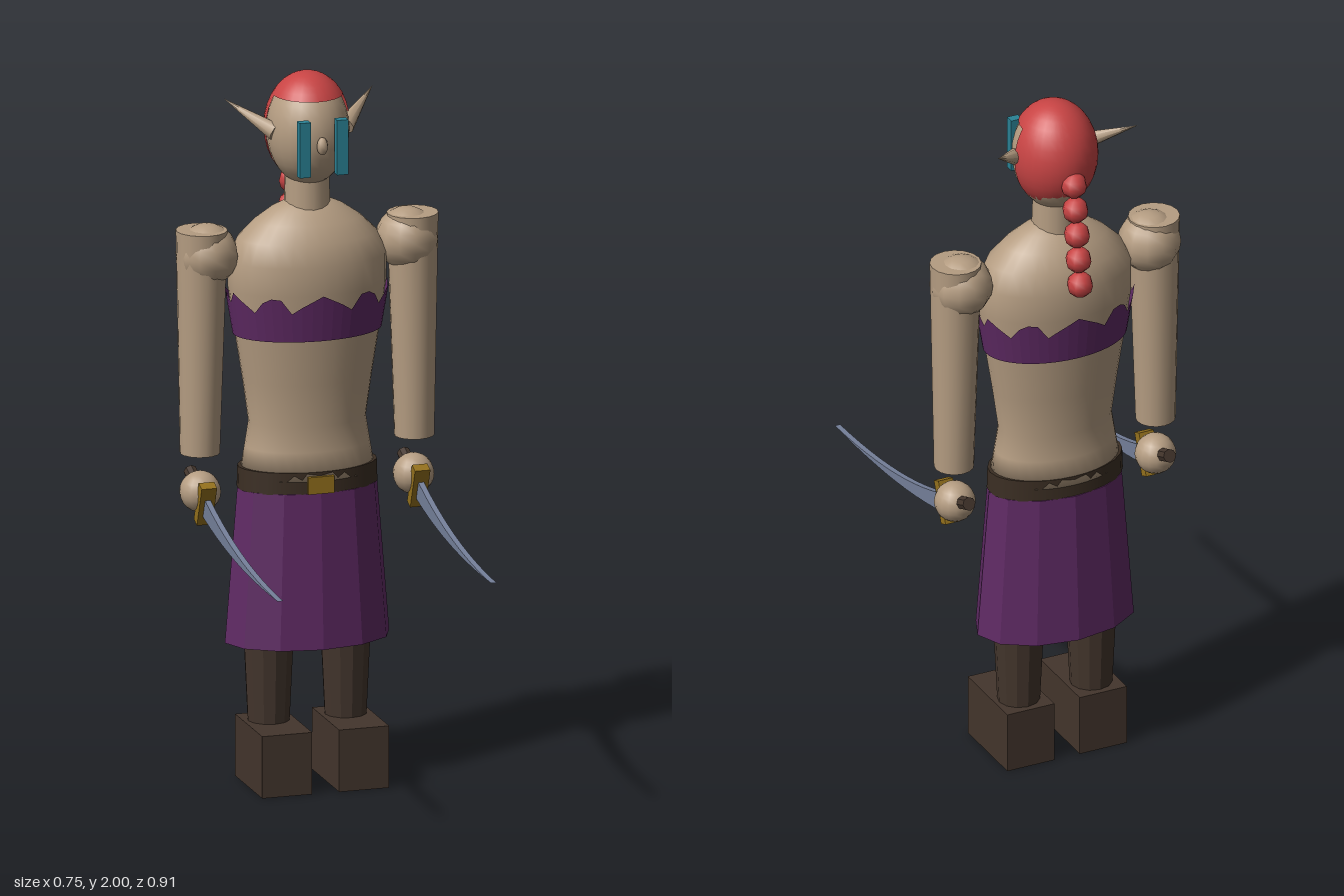
import * as THREE from 'three';

const mat = (name, color, opts = {}) => {
  const m = new THREE.MeshStandardMaterial({ color, ...opts });
  m.name = name;
  return m;
};

export function createModel() {
  const root = new THREE.Group();
  root.name = 'swordFighter';
  const CZ = -0.263; // depth of the body axis

  const skin = mat('skin', 0xb59d82);
  const cloth = mat('purpleCloth', 0x5f2a64, { flatShading: true, side: THREE.DoubleSide });
  const leather = mat('darkLeather', 0x43352c, { flatShading: true });
  const beltBrown = mat('beltBrown', 0x3b2e23);
  const gold = mat('gold', 0x94711d);
  const hairRed = mat('redHair', 0xc84444, { side: THREE.DoubleSide });
  const paint = mat('tealPaint', 0x2a8295);
  const steel = mat('steel', 0x75809a);

  const add = (name, geo, material, x = 0, y = 0, z = CZ, parent = root) => {
    const m = new THREE.Mesh(geo, material);
    m.name = name;
    m.position.set(x, y, z);
    parent.add(m);
    return m;
  };
  const ball = (r, w = 16, h = 12) => new THREE.SphereGeometry(r, w, h);

  // Torso: oval lathe
  const profile = [[0, 0.87], [0.19, 0.87], [0.176, 0.95], [0.165, 1.02], [0.182, 1.14], [0.203, 1.27],
    [0.222, 1.4], [0.222, 1.48], [0.196, 1.54], [0.15, 1.585], [0.1, 1.62], [0.05, 1.642], [0, 1.645]]
    .map(([r, y]) => new THREE.Vector2(r, y));
  add('torso', new THREE.LatheGeometry(profile, 32).scale(1, 1, 0.65), skin);
  add('neck', new THREE.CylinderGeometry(0.06, 0.064, 0.12, 16), skin, 0, 1.67);

  // Torn chest wrap: the top edge follows a ragged outline mirrored in each quarter
  const ragged = [1.4, 1.385, 1.37, 1.352, 1.392, 1.395, 1.382, 1.352, 1.37, 1.385, 1.4, 1.37, 1.395];
  const wrap = new THREE.CylinderGeometry(0.231, 0.209, 0.13, 48, 1, true);
  const wp = wrap.attributes.position;
  for (let i = 0; i < wp.count; i++) {
    const k = i % 49 % 24;
    const top = ragged[k > 12 ? 24 - k : k];
    if (wp.getY(i) > 0) {
      const s = (0.209 + 0.022 * (top - 1.27) / 0.13) / 0.231;
      wp.setXYZ(i, wp.getX(i) * s, top, wp.getZ(i) * s);
    } else wp.setY(i, 1.27);
  }
  wrap.scale(1, 1, 0.65).computeVertexNormals();
  add('chestWrap', wrap, cloth);

  // Belt, buckle and skirt
  add('belt', new THREE.CylinderGeometry(0.196, 0.198, 0.062, 24).scale(1, 1, 0.62), beltBrown, 0, 0.865);
  add('buckle', new THREE.BoxGeometry(0.074, 0.048, 0.02), gold, 0, 0.861, -0.142);
  add('skirt', new THREE.CylinderGeometry(0.2, 0.235, 0.436, 12).scale(1, 1, 0.635), cloth, 0, 0.618);

  // Head, nose and face paint
  add('head', ball(1, 24, 16).scale(0.113, 0.155, 0.124), skin, 0, 1.837, -0.257);
  add('nose', ball(1, 8, 6).scale(0.016, 0.025, 0.018), skin, 0, 1.822, -0.125);

  // Hair: crown cap and back half shell
  const crown = new THREE.SphereGeometry(1, 24, 6, 0, Math.PI * 2, 0, 0.927);
  add('hairCrown', crown.scale(0.12, 0.155, 0.127), hairRed, 0, 1.845, -0.258);
  const back = new THREE.SphereGeometry(1, 16, 16, Math.PI, Math.PI);
  add('hairBack', back.scale(0.12, 0.155, 0.127), hairRed, 0, 1.845, -0.258);

  // Braid
  const braid = new THREE.Group();
  braid.name = 'braid';
  root.add(braid);
  for (let i = 0; i < 5; i++)
    add('braidBead', ball(0.037, 8, 6), hairRed, 0, 1.8 - i * 0.0725, -0.38 - i * 0.0095, braid);

  // Curved blade outline drawn as (z, y)
  const outline = new THREE.Shape();
  outline.moveTo(-0.23, 0.84);
  outline.quadraticCurveTo(0.06, 0.722, 0.455, 0.715);
  outline.quadraticCurveTo(0.04, 0.705, -0.25, 0.785);
  outline.closePath();
  const bladeGeo = new THREE.ExtrudeGeometry(outline, { depth: 0.016, bevelEnabled: false, curveSegments: 12 });
  bladeGeo.rotateY(-Math.PI / 2).translate(0.008, 0, 0);

  for (const s of [1, -1]) {
    const side = s > 0 ? 'left' : 'right';
    add(side + 'FacePaint', new THREE.BoxGeometry(0.032, 0.155, 0.026), paint, s * 0.0535, 1.818, -0.123);

    // Pointed ear swept up and back
    const from = new THREE.Vector3(s * 0.1, 1.842, -0.235);
    const dir = new THREE.Vector3(s * 0.213, 1.917, -0.345).sub(from);
    const ear = add(side + 'Ear', new THREE.ConeGeometry(0.026, dir.length(), 8), skin);
    ear.position.copy(from).addScaledVector(dir, 0.5);
    ear.quaternion.setFromUnitVectors(new THREE.Vector3(0, 1, 0), dir.normalize());

    // Arm
    add(side + 'Shoulder', ball(0.087, 12, 10), skin, s * 0.286, 1.503, -0.266);
    const arm = add(side + 'Arm', new THREE.CylinderGeometry(0.071, 0.055, 0.63, 16), skin, s * 0.304, 1.26);
    arm.rotation.z = s * 0.008;
    add(side + 'Hand', ball(0.057), skin, s * 0.305, 0.835, -0.265);

    // Sword
    const sword = new THREE.Group();
    sword.name = side + 'Sword';
    root.add(sword);
    add('blade', bladeGeo, steel, s * 0.305, 0, 0, sword);
    const hilt = new THREE.Group();
    hilt.name = 'hilt';
    hilt.position.set(s * 0.305, 0.835, -0.265);
    hilt.rotation.x = 0.37;
    sword.add(hilt);
    add('guard', new THREE.BoxGeometry(0.044, 0.122, 0.03), gold, 0, -0.004, 0.053, hilt);
    const grip = new THREE.CylinderGeometry(0.019, 0.019, 0.14, 8).rotateX(Math.PI / 2);
    add('grip', grip, leather, 0, 0, -0.025, hilt);

    // Leg and boot
    add(side + 'Leg', new THREE.CylinderGeometry(0.075, 0.058, 0.36, 12), leather, s * 0.11, 0.34);
    add(side + 'Boot', new THREE.BoxGeometry(0.143, 0.175, 0.243), leather, s * 0.11, 0.0875, -0.217);
  }
  return root;
}
